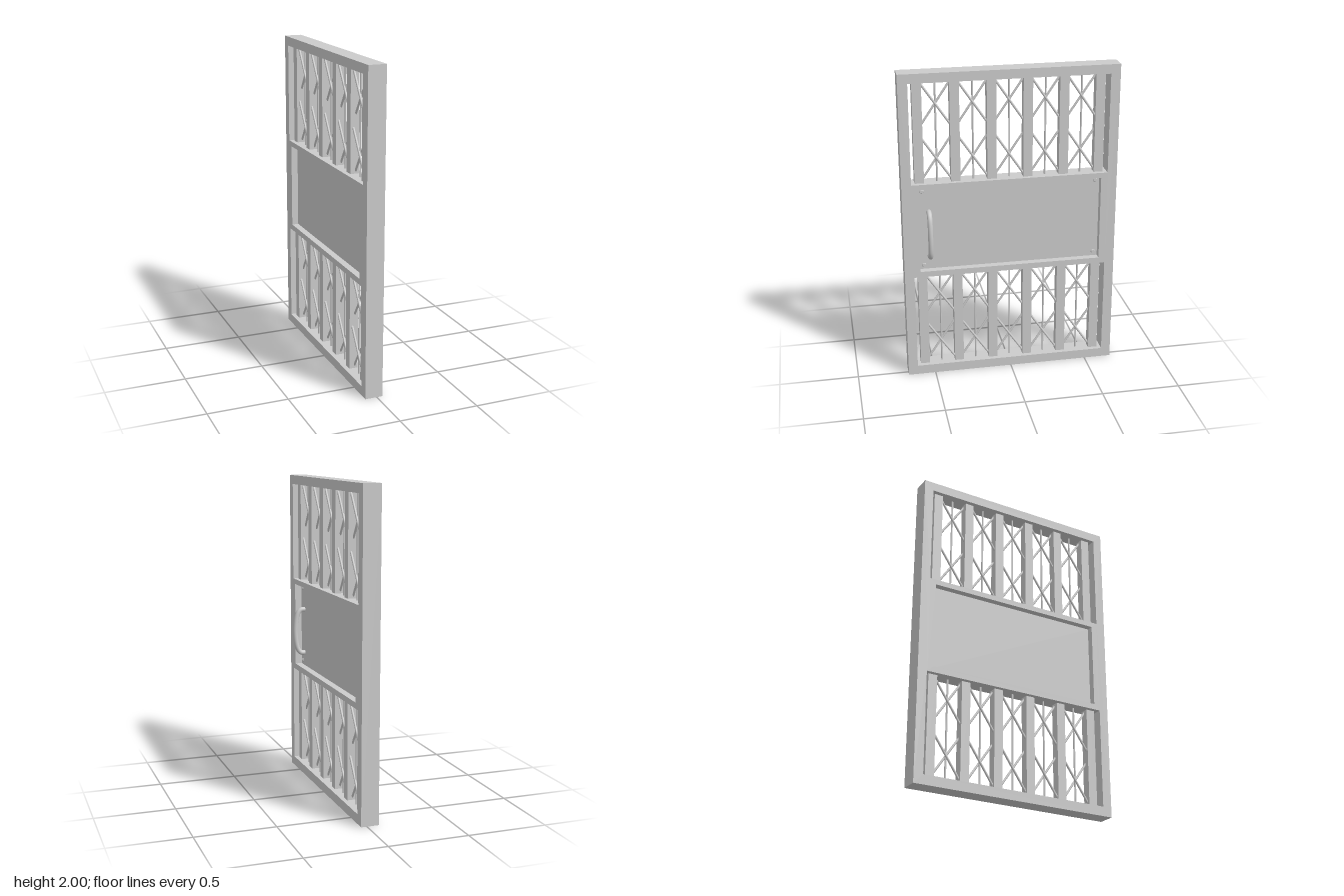
import * as THREE from 'three';

const material = new THREE.MeshStandardMaterial({ color: 0xcccccc });
const BACK = -0.075, FRONT = 0.037, MID = (BACK + FRONT) / 2;

function add(parent, name, geometry, x = 0, y = 0, z = 0) {
  const mesh = new THREE.Mesh(geometry, material);
  mesh.name = name;
  mesh.position.set(x, y, z);
  parent.add(mesh);
  return mesh;
}

// Closed rectangle, centred sideways
function rectangle(target, halfWidth, bottom, top) {
  target.moveTo(-halfWidth, bottom);
  target.lineTo(halfWidth, bottom);
  target.lineTo(halfWidth, top);
  target.lineTo(-halfWidth, top);
  target.closePath();
  return target;
}

// Round rod between two points
function addRod(parent, name, a, b, radius) {
  const rod = add(parent, name, new THREE.CylinderGeometry(radius, radius, a.distanceTo(b), 10));
  rod.position.copy(a).add(b).multiplyScalar(0.5);
  rod.quaternion.setFromUnitVectors(new THREE.Vector3(0, 1, 0), b.clone().sub(a).normalize());
}

// Upright bars with crossed lattice rods between them
function createGrille(bottom, top, crossHeights) {
  const grille = new THREE.Group();
  const spacing = 0.2245, height = top - bottom, y = (top + bottom) / 2;
  for (let i = 0; i < 6; i++) {
    add(grille, 'uprightBar', new THREE.BoxGeometry(0.055, height, 0.058), MID, y, (i - 2.5) * spacing);
  }
  for (let i = -2; i <= 2; i++) {
    const z = i * spacing;
    add(grille, 'thinRod', new THREE.CylinderGeometry(0.006, 0.006, height, 10), MID, y, z);
    for (const cy of crossHeights) {
      for (const s of [-1, 1]) {
        const x = MID + s * 0.008;
        addRod(grille, 'latticeRod',
          new THREE.Vector3(x, cy - 0.133, z - s * 0.09),
          new THREE.Vector3(x, cy + 0.133, z + s * 0.09), 0.007);
      }
    }
  }
  return grille;
}

export function createModel() {
  const door = new THREE.Group();
  door.name = 'latticeDoor';

  // Frame with two grille openings and a panel opening
  const outline = rectangle(new THREE.Shape(), 0.675, 0, 2);
  for (const [half, low, high] of [[0.615, 0.06, 0.693], [0.575, 0.73, 1.277], [0.615, 1.31, 1.942]]) {
    outline.holes.push(rectangle(new THREE.Path(), half, low, high));
  }
  const frame = new THREE.ExtrudeGeometry(outline, { depth: FRONT - BACK, bevelEnabled: false });
  frame.rotateY(Math.PI / 2);
  add(door, 'frame', frame, BACK);

  // Recessed centre panel
  const panelFace = -0.008;
  add(door, 'centrePanel', new THREE.BoxGeometry(0.024, 0.547, 1.15), panelFace - 0.012, 1.0035, 0);

  // Screw heads at the panel corners
  for (const z of [-0.548, 0.548]) {
    for (const y of [0.757, 1.25]) {
      const screw = add(door, 'screwHead', new THREE.CylinderGeometry(0.011, 0.014, 0.006, 16), panelFace + 0.003, y, z);
      screw.rotation.z = -Math.PI / 2;
    }
  }

  // Grilles above and below the panel
  const lower = createGrille(0.06, 0.693, [0.21, 0.55]);
  lower.name = 'lowerGrille';
  const upper = createGrille(1.31, 1.942, [1.457, 1.8]);
  upper.name = 'upperGrille';
  door.add(lower, upper);

  // Bowed pull handle
  const handlePath = new THREE.CatmullRomCurve3([
    [-0.012, 1.113], [0.02, 1.11], [0.043, 1.08], [0.058, 0.965],
    [0.043, 0.85], [0.02, 0.82], [-0.012, 0.817],
  ].map(([x, y]) => new THREE.Vector3(x, y, 0.508)));
  add(door, 'handle', new THREE.TubeGeometry(handlePath, 48, 0.016, 16));

  return door;
}
